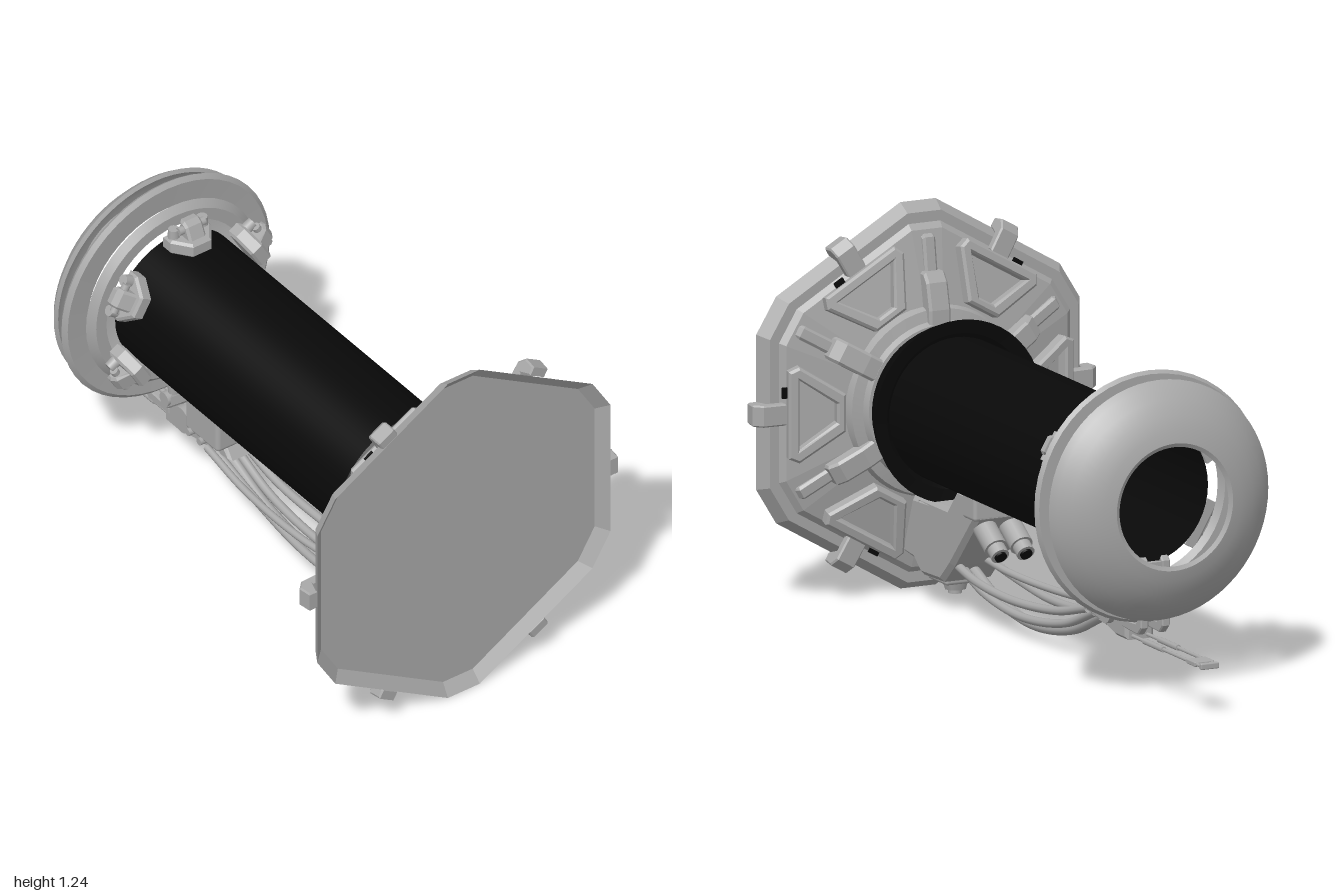
import * as THREE from 'three';
import { toCreasedNormals } from 'three/addons/utils/BufferGeometryUtils.js';
import { RoundedBoxGeometry } from 'three/addons/geometries/RoundedBoxGeometry.js';

export function createModel() {
  const grey = new THREE.MeshStandardMaterial({ color: 0xa8a8a8, side: THREE.DoubleSide });
  grey.name = 'grey';
  const greyOuter = grey;
  const black = new THREE.MeshStandardMaterial({ color: 0x090909, side: THREE.DoubleSide });
  black.name = 'black';

  const model = new THREE.Group();
  const core = new THREE.Group(); // everything centred on the tube axis
  core.name = 'core';
  core.position.y = 0.623;
  model.add(core);

  const add = (parent, name, geo, mat = grey, x = 0, y = 0, z = 0) => {
    const m = new THREE.Mesh(geo, mat);
    m.name = name;
    m.position.set(x, y, z);
    parent.add(m);
    return m;
  };
  const v2 = (pts) => pts.map(([a, b]) => new THREE.Vector2(a, b));
  const bevel = (b) => (b ? { bevelEnabled: true, bevelThickness: b, bevelSize: b, bevelOffset: -b, bevelSegments: 1 } : { bevelEnabled: false });

  // Extrudes a side profile of [z, y] points across x, centred on x = 0
  const sideExtrude = (pts, width, b = 0.008, holes = []) => {
    const s = new THREE.Shape(v2(pts));
    holes.forEach((h) => s.holes.push(new THREE.Path(v2(h))));
    const g = new THREE.ExtrudeGeometry(s, { depth: width - 2 * b, ...bevel(b) });
    return g.translate(0, 0, b - width / 2).rotateY(-Math.PI / 2);
  };

  // Lathe around z from [radius, z] points
  const latheZ = (pts, seg = 48) => {
    const g = new THREE.LatheGeometry(v2(pts.map(([r, z]) => [r, z])), seg).rotateX(Math.PI / 2);
    return toCreasedNormals(g, 0.6);
  };

  // Six-fold copies; each part is built pointing up (+y)
  const ring6 = (name, startDeg, build) => {
    for (let i = 0; i < 6; i++) {
      const g = new THREE.Group();
      g.name = name;
      g.rotation.z = THREE.MathUtils.degToRad(startDeg + 60 * i - 90);
      build(g, i);
      core.add(g);
    }
  };

  // Front plate: a hexagon with cut corners, lofted between scaled outlines
  const quarter = [[0.57, 0.25], [0.5, 0.365], [0.062, 0.622]];
  const flip = (pts, sx, sy) => pts.map(([x, y]) => [x * sx, y * sy]);
  const outline = [
    ...quarter, ...flip(quarter, -1, 1).reverse(),
    ...flip(quarter, -1, -1), ...flip(quarter, 1, -1).reverse(),
  ];
  const loft = (levels) => {
    const pos = [], n = outline.length;
    const p = (l, i) => [outline[i % n][0] * l[0], outline[i % n][1] * l[0], l[1]];
    for (let k = 0; k + 1 < levels.length; k++) {
      for (let i = 0; i < n; i++) {
        const a = p(levels[k], i), b = p(levels[k], i + 1), c = p(levels[k + 1], i + 1), d = p(levels[k + 1], i);
        pos.push(...a, ...c, ...b, ...a, ...d, ...c);
      }
    }
    const g = new THREE.BufferGeometry();
    g.setAttribute('position', new THREE.Float32BufferAttribute(pos, 3));
    g.computeVertexNormals();
    return g;
  };
  add(core, 'plateBack', loft([[1, 1], [0.955, 0.955], [0.9, 0.955], [0.87, 0.938], [0.45, 0.885]]));
  add(core, 'plateFrontRim', loft([[0.933, 0.968], [1, 1]]));
  add(core, 'plateFace', new THREE.ShapeGeometry(new THREE.Shape(v2(flip(outline, 0.933, 0.933)))), grey, 0, 0, 0.968);

  // Hub ring where the tube meets the plate
  add(core, 'hubRing', latheZ([[0.31, 0.9], [0.3, 0.868], [0.265, 0.86], [0.255, 0.84], [0.225, 0.84], [0.225, 0.9]]));

  // Clips over the plate edge, raised wedge frames and small dark slots
  const wedge = [[-0.06, 0.325], [0.06, 0.325], [0.155, 0.475], [0.14, 0.51], [-0.14, 0.51], [-0.155, 0.475]];
  const pocket = [[-0.03, 0.355], [0.03, 0.355], [0.112, 0.475], [-0.112, 0.475]];
  const wedgeShape = new THREE.Shape(v2(wedge));
  wedgeShape.holes.push(new THREE.Path(v2(pocket)));
  const wedgeGeo = new THREE.ExtrudeGeometry(wedgeShape, { depth: 0.03, ...bevel(0.008) }).translate(0, 0, -0.03).rotateX(0.245);
  const clipGeo = sideExtrude([[1, 0.6], [0.955, 0.606], [0.928, 0.58], [0.924, 0.5], [0.955, 0.5], [0.958, 0.555], [1, 0.57]], 0.07, 0.005);
  ring6('edgeFitting', 0, (g, i) => {
    add(g, 'clip', clipGeo);
    add(g, 'wedgeFrame', wedgeGeo, grey, 0, 0, 0.815);
    const side = i === 1 || i === 5 ? 1 : -1;
    add(g, 'darkSlot', new THREE.BoxGeometry(0.035, 0.022, 0.008), black, 0.07 * side, 0.505, 0.927);
  });

  // Radial ribs between the frames
  const ribGeo = sideExtrude([[0.9, 0.235], [0.84, 0.235], [0.842, 0.3], [0.862, 0.385], [0.885, 0.415], [0.93, 0.415]], 0.075);
  const ribTailGeo = sideExtrude([[0.93, 0.4], [0.9, 0.4], [0.918, 0.52], [0.95, 0.535]], 0.045);
  ring6('radialRib', 30, (g) => {
    add(g, 'rib', ribGeo);
    add(g, 'ribTail', ribTailGeo);
  });

  // Dark tube with a flared collar
  add(core, 'tube', new THREE.CylinderGeometry(0.235, 0.235, 1.37, 48, 1, true).rotateX(Math.PI / 2), black, 0, 0, 0.158);
  add(core, 'flaredCollar', latheZ([[0.237, 0.85], [0.255, 0.82], [0.275, 0.775], [0.295, 0.718], [0.25, 0.725], [0.235, 0.74]]), black);

  // Rear rings and dome
  add(core, 'innerRing', latheZ([[0.27, -0.525], [0.31, -0.525], [0.333, -0.548], [0.285, -0.548], [0.27, -0.525]]));
  add(core, 'outerRing', latheZ([[0.31, -0.572], [0.39, -0.567], [0.405, -0.58], [0.395, -0.594], [0.31, -0.594], [0.31, -0.572]]));
  const domeProfile = [[0.375, -0.638], [0.387, -0.645], [0.37, -0.668], [0.335, -0.7], [0.29, -0.729], [0.24, -0.749], [0.205, -0.757], [0.192, -0.75]];
  add(core, 'rearDome', latheZ(domeProfile, 64), greyOuter);

  // Brackets around the rear end of the tube
  const padShape = new THREE.Shape(v2([[-0.035, 0.385], [0.035, 0.385], [0.08, 0.445], [0.08, 0.485], [-0.08, 0.485], [-0.08, 0.445]]));
  const padGeo = new THREE.ExtrudeGeometry(padShape, { depth: 0.035, ...bevel(0.008) }).rotateX(-Math.PI / 2);
  const lugGeo = sideExtrude([[-0.395, 0.27], [-0.425, 0.335], [-0.445, 0.347], [-0.465, 0.345], [-0.47, 0.27]], 0.065);
  const knobGeo = new THREE.CylinderGeometry(0.014, 0.014, 0.1, 12).rotateZ(Math.PI / 2);
  const boltGeo = new THREE.CylinderGeometry(0.018, 0.02, 0.035, 12);
  ring6('rearBracket', 30, (g) => {
    add(g, 'pad', padGeo, grey, 0, 0.25, 0);
    add(g, 'lug', lugGeo);
    add(g, 'pivot', knobGeo, grey, 0, 0.318, -0.445);
    for (const s of [-1, 1]) add(g, 'bolt', boltGeo, grey, 0.055 * s, 0.305, -0.462);
  });

  // Lower front housing carrying the cables
  const housing = new THREE.Group();
  housing.name = 'cableHousing';
  model.add(housing);
  add(housing, 'housingBody', sideExtrude(
    [[0.93, 0.14], [0.86, 0.335], [0.62, 0.345], [0.555, 0.42], [0.48, 0.42], [0.42, 0.4], [0.42, 0.345],
      [0.59, 0.16], [0.66, 0.095], [0.8, 0.09], [0.85, 0.13]],
    0.19, 0.015, [[[0.8, 0.235], [0.8, 0.315], [0.715, 0.315]]]));
  add(housing, 'housingCore', new THREE.BoxGeometry(0.14, 0.1, 0.11), grey, 0, 0.275, 0.757);
  add(housing, 'armTop', new RoundedBoxGeometry(0.2, 0.085, 0.085, 2, 0.012), grey, 0, 0.38, 0.462);
  add(housing, 'bottomPlate', new RoundedBoxGeometry(0.13, 0.03, 0.13, 2, 0.01), grey, 0, 0.09, 0.745);
  add(housing, 'bottomNut', new THREE.CylinderGeometry(0.045, 0.035, 0.035, 8), grey, 0, 0.066, 0.745);
  add(housing, 'bottomTip', new THREE.CylinderGeometry(0.022, 0.022, 0.02, 12), grey, 0, 0.045, 0.745);

  // Angled connector at the housing's rear
  for (const s of [-1, 1]) {
    const plug = new THREE.Group();
    plug.name = 'connector';
    plug.position.set(0.045 * s, 0.285, 0.42);
    plug.rotation.x = -2.15;
    add(plug, 'sleeve', new THREE.CylinderGeometry(0.038, 0.038, 0.1, 16));
    add(plug, 'cap', new THREE.CylinderGeometry(0.03, 0.03, 0.04, 16), grey, 0, 0.065, 0);
    add(plug, 'darkEnd', new THREE.CylinderGeometry(0.02, 0.02, 0.008, 16), black, 0, 0.088, 0);
    housing.add(plug);
  }

  // Sagging cables: [x at front, x at rear, front y, middle y, rear y, radius]
  const cables = [
    [0, 0, 0.14, 0.045, 0.17, 0.018], [-0.06, -0.05, 0.16, 0.115, 0.2, 0.014], [0.06, 0.05, 0.16, 0.125, 0.2, 0.014],
    [-0.03, -0.075, 0.175, 0.15, 0.215, 0.012], [0.035, 0.025, 0.145, 0.07, 0.185, 0.014],
  ];
  cables.forEach(([x0, x1, y0, ym, y1, r]) => {
    const path = new THREE.CatmullRomCurve3([
      new THREE.Vector3(x0, y0, 0.63), new THREE.Vector3(x0 * 1.2, (y0 + ym * 2) / 3, 0.46),
      new THREE.Vector3((x0 + x1) * 0.6, ym, 0.22), new THREE.Vector3(x1, ym * 0.7 + y1 * 0.3, -0.05),
      new THREE.Vector3(x1, y1, -0.26),
    ]);
    add(model, 'cable', new THREE.TubeGeometry(path, 32, r, 10));
  });

  // Rear junction under the tube
  const junction = new THREE.Group();
  junction.name = 'rearJunction';
  model.add(junction);
  add(junction, 'junctionBox', new RoundedBoxGeometry(0.17, 0.15, 0.175, 2, 0.015), grey, 0, 0.31, -0.277);
  add(junction, 'junctionBase', sideExtrude([[-0.17, 0.2], [-0.2, 0.24], [-0.35, 0.28], [-0.47, 0.27], [-0.52, 0.2], [-0.52, 0.15], [-0.44, 0.15], [-0.36, 0.17]], 0.1, 0.01));
  add(junction, 'sideDisc', new THREE.CylinderGeometry(0.046, 0.046, 0.14, 20).rotateZ(Math.PI / 2), grey, 0, 0.23, -0.405);
  add(junction, 'rearPin', new THREE.CylinderGeometry(0.024, 0.024, 0.13, 16).rotateZ(Math.PI / 2), grey, 0, 0.25, -0.5);
  add(junction, 'brace', sideExtrude([[-0.36, 0.33], [-0.4, 0.345], [-0.53, 0.225], [-0.5, 0.205]], 0.11, 0.006));
  for (const z of [-0.275, -0.335]) add(junction, 'boxStud', new THREE.CylinderGeometry(0.013, 0.013, 0.19, 10).rotateZ(Math.PI / 2), grey, 0, 0.236, z);
  // Paired hooks rising behind the rings
  const hookGeo = sideExtrude([[-0.49, 0.19], [-0.49, 0.215], [-0.585, 0.22], [-0.6, 0.235], [-0.6, 0.42], [-0.61, 0.435], [-0.625, 0.42], [-0.625, 0.21], [-0.6, 0.185]], 0.028, 0.004);
  for (const s of [-1, 1]) add(junction, 'ringHook', hookGeo, grey, 0.038 * s, 0, 0);
  add(junction, 'hookBridge', new THREE.BoxGeometry(0.09, 0.035, 0.02), grey, 0, 0.4, -0.612);

  // Ladder-like tail rod
  const tail = new THREE.Group();
  tail.name = 'tailRod';
  tail.position.y = 0.162;
  model.add(tail);
  for (const s of [-1, 1]) {
    add(tail, 'rail', new THREE.CylinderGeometry(0.006, 0.006, 0.5, 8).rotateX(Math.PI / 2), grey, 0.026 * s, 0, -0.74);
    add(tail, 'railSleeve', new THREE.CylinderGeometry(0.01, 0.01, 0.13, 8).rotateX(Math.PI / 2), grey, 0.026 * s, 0, -0.665);
  }
  add(tail, 'tailBlock', new RoundedBoxGeometry(0.07, 0.016, 0.06, 1, 0.004), grey, 0, 0, -0.93);
  add(tail, 'tailEnd', new RoundedBoxGeometry(0.064, 0.02, 0.018, 1, 0.004), grey, 0, 0, -0.991);
  return model;
}
